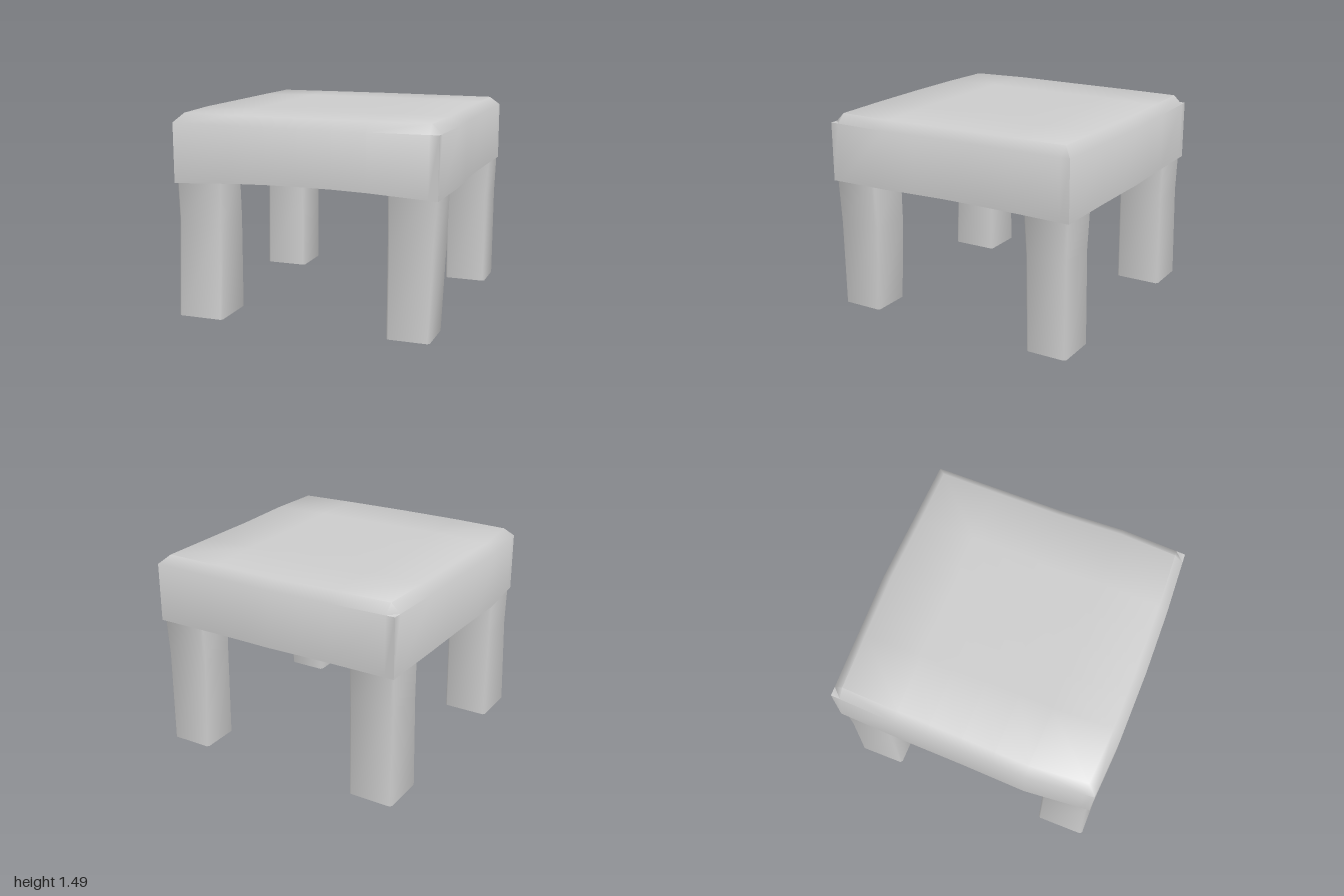
import * as THREE from 'three';
import { toCreasedNormals } from 'three/addons/utils/BufferGeometryUtils.js';

const material = new THREE.MeshStandardMaterial({ color: 0xcccccc });

// Reads a five-sample curve at t in [-1, 1]
function sample(values, t) {
  const s = (t + 1) * 2, i = Math.min(3, Math.floor(s));
  return THREE.MathUtils.lerp(values[i], values[i + 1], s - i);
}

// Cushion-like slab with bowed sides, a softened top rim and an arched front edge
function makeSeat() {
  const left = [0.955, 0.975, 0.985, 1, 0.955];
  const right = [0.97, 0.97, 0.97, 0.99, 0.97];
  const front = [0.965, 0.995, 1, 0.99, 0.965];
  const back = [0.97, 0.985, 1, 0.985, 0.97];
  const geo = new THREE.BoxGeometry(2, 2, 2, 8, 1, 8);
  const p = geo.attributes.position;
  const grid = (t) => (Math.abs(t) === 0.75 ? Math.sign(t) * 0.93 : t);
  for (let i = 0; i < p.count; i++) {
    const u = grid(p.getX(i)), w = grid(p.getZ(i));
    const m = Math.max(Math.abs(u), Math.abs(w));
    const top = m === 1 ? 1.41 : 1.485 - 0.013 * m * m;
    const toFront = (w + 1) / 2;
    const bottom = 0.988 + 0.03 * toFront * toFront * (1 - u * u) - 0.012 * u * u * w * w;
    p.setXYZ(i,
      u * sample(u < 0 ? left : right, w),
      p.getY(i) > 0 ? top : bottom,
      w * sample(w < 0 ? back : front, u));
  }
  const mesh = new THREE.Mesh(toCreasedNormals(geo, 0.95), material);
  mesh.name = 'seat';
  return mesh;
}

// Leg lofted through rectangles [y, x0, x1, z0, z1] with slightly bevelled corners
function makeLeg(name, sections) {
  const b = 0.015, pos = [], index = [];
  for (const [y, x0, x1, z0, z1] of sections) {
    const ring = [
      [x0 + b, z1], [x1 - b, z1], [x1, z1 - b], [x1, z0 + b],
      [x1 - b, z0], [x0 + b, z0], [x0, z0 + b], [x0, z1 - b],
    ];
    for (const [x, z] of ring) pos.push(x, y, z);
  }
  const last = (sections.length - 1) * 8;
  for (let r = 0; r < last; r += 8) {
    for (let i = 0; i < 8; i++) {
      const a = r + i, c = r + (i + 1) % 8;
      index.push(a, c, c + 8, a, c + 8, a + 8);
    }
  }
  for (let i = 1; i < 7; i++) {
    index.push(0, i + 1, i, last, last + i, last + i + 1);
  }
  const geo = new THREE.BufferGeometry();
  geo.setAttribute('position', new THREE.Float32BufferAttribute(pos, 3));
  geo.setIndex(index);
  const mesh = new THREE.Mesh(toCreasedNormals(geo, 0.95), material);
  mesh.name = name;
  return mesh;
}

export function createModel() {
  const group = new THREE.Group();
  group.name = 'stool';
  group.add(makeSeat());

  // Four slightly uneven legs, their tops set into the seat
  const legs = {
    frontLeftLeg: [
      [0, 0.62, 0.925, 0.64, 0.955], [0.65, 0.62, 0.95, 0.61, 0.94], [1.04, 0.62, 0.965, 0.615, 0.95]],
    frontRightLeg: [
      [0, -0.95, -0.605, 0.6, 0.97], [0.7, -0.94, -0.6, 0.605, 0.94], [1.04, -0.945, -0.605, 0.615, 0.95]],
    backLeftLeg: [
      [0, 0.63, 0.95, -0.95, -0.645], [0.7, 0.625, 0.955, -0.94, -0.64], [1.04, 0.62, 0.965, -0.955, -0.625]],
    backRightLeg: [
      [0, -0.945, -0.61, -0.95, -0.6], [0.7, -0.935, -0.605, -0.94, -0.6], [1.04, -0.94, -0.605, -0.95, -0.605]],
  };
  for (const [name, sections] of Object.entries(legs)) group.add(makeLeg(name, sections));
  return group;
}
